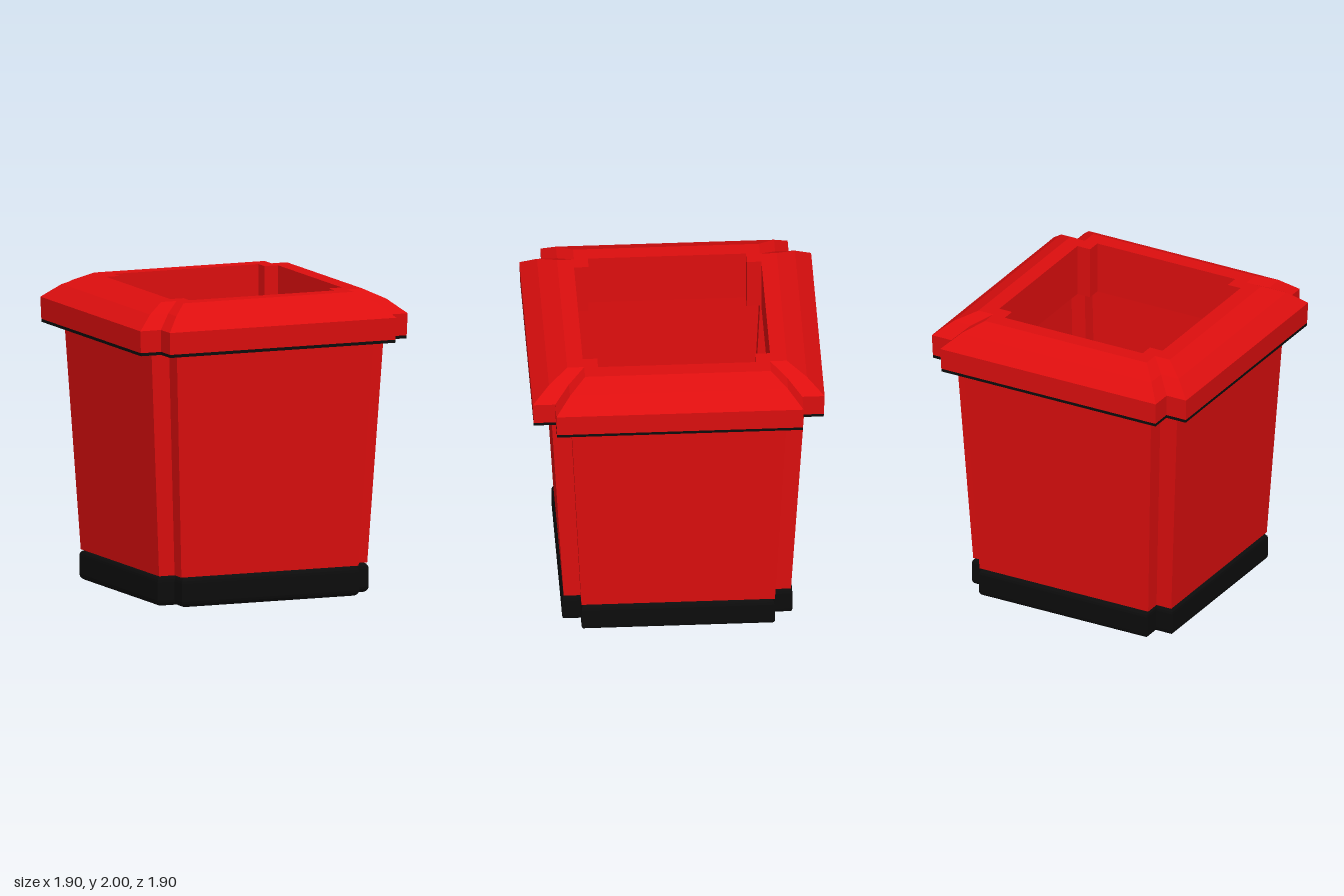
import * as THREE from 'three';

// Square cross-section with a step cut out of each corner:
// a = half width of the sides, b = half width where the corner step begins
function ring([a, b, y]) {
  const points = [];
  let quarter = [[a, -b], [a, b], [b, b]];
  for (let i = 0; i < 4; i++) {
    quarter.forEach(([x, z]) => points.push(new THREE.Vector3(x, y, z)));
    quarter = quarter.map(([x, z]) => [-z, x]);
  }
  return points;
}

// Joins consecutive rings with flat faces; a ring of zero size closes the end
function loft(name, material, profile) {
  const rings = profile.map(ring);
  const positions = [];
  const triangle = (p, q, r) => {
    if (p.equals(q) || q.equals(r) || r.equals(p)) return;
    [p, q, r].forEach((v) => positions.push(v.x, v.y, v.z));
  };
  for (let k = 0; k < rings.length - 1; k++) {
    const lower = rings[k], upper = rings[k + 1];
    for (let i = 0; i < lower.length; i++) {
      const j = (i + 1) % lower.length;
      triangle(lower[i], upper[i], upper[j]);
      triangle(lower[i], upper[j], lower[j]);
    }
  }
  const geometry = new THREE.BufferGeometry();
  geometry.setAttribute('position', new THREE.Float32BufferAttribute(positions, 3));
  geometry.computeVertexNormals();
  const mesh = new THREE.Mesh(geometry, material);
  mesh.name = name;
  return mesh;
}

export function createModel() {
  const red = new THREE.MeshStandardMaterial({ color: 0xdd0e0e });
  red.name = 'red';
  const black = new THREE.MeshStandardMaterial({ color: 0x0c0c0c });
  black.name = 'black';

  const model = new THREE.Group();
  model.name = 'planter';

  // Base with rounded top and bottom edges
  const base = [[0, 0, 0]];
  const radius = 0.04, steps = 4;
  for (const top of [false, true]) {
    for (let i = 0; i <= steps; i++) {
      const t = (i / steps) * Math.PI / 2;
      const inset = radius * (1 - (top ? Math.cos(t) : Math.sin(t)));
      const y = top ? 0.2 - radius * (1 - Math.sin(t)) : radius * (1 - Math.cos(t));
      base.push([0.75 - inset, 0.63 - inset, y]);
    }
  }
  base.push([0, 0, 0.2]);
  model.add(loft('base', black, base));

  // Tapered outer wall
  model.add(loft('outerWall', red, [
    [0.7, 0.59, 0.2], [0.74, 0.63, 0.2], [0.825, 0.7, 1.69],
  ]));

  // Inner wall and floor
  model.add(loft('innerWall', red, [
    [0.71, 0.61, 1.65], [0.64, 0.54, 0.24], [0, 0, 0.24],
  ]));

  // Thin dark band under the rim
  model.add(loft('rimBand', black, [
    [0.72, 0.61, 1.685], [0.944, 0.8, 1.685], [0.945, 0.8, 1.705],
  ]));

  // Bevelled rim with an inner collar
  model.add(loft('rim', red, [
    [0.945, 0.8, 1.705], [0.95, 0.805, 1.85], [0.84, 0.71, 1.94], [0.715, 0.605, 2],
    [0.61, 0.515, 2], [0.61, 0.515, 1.65], [0.71, 0.61, 1.65],
  ]));

  return model;
}
